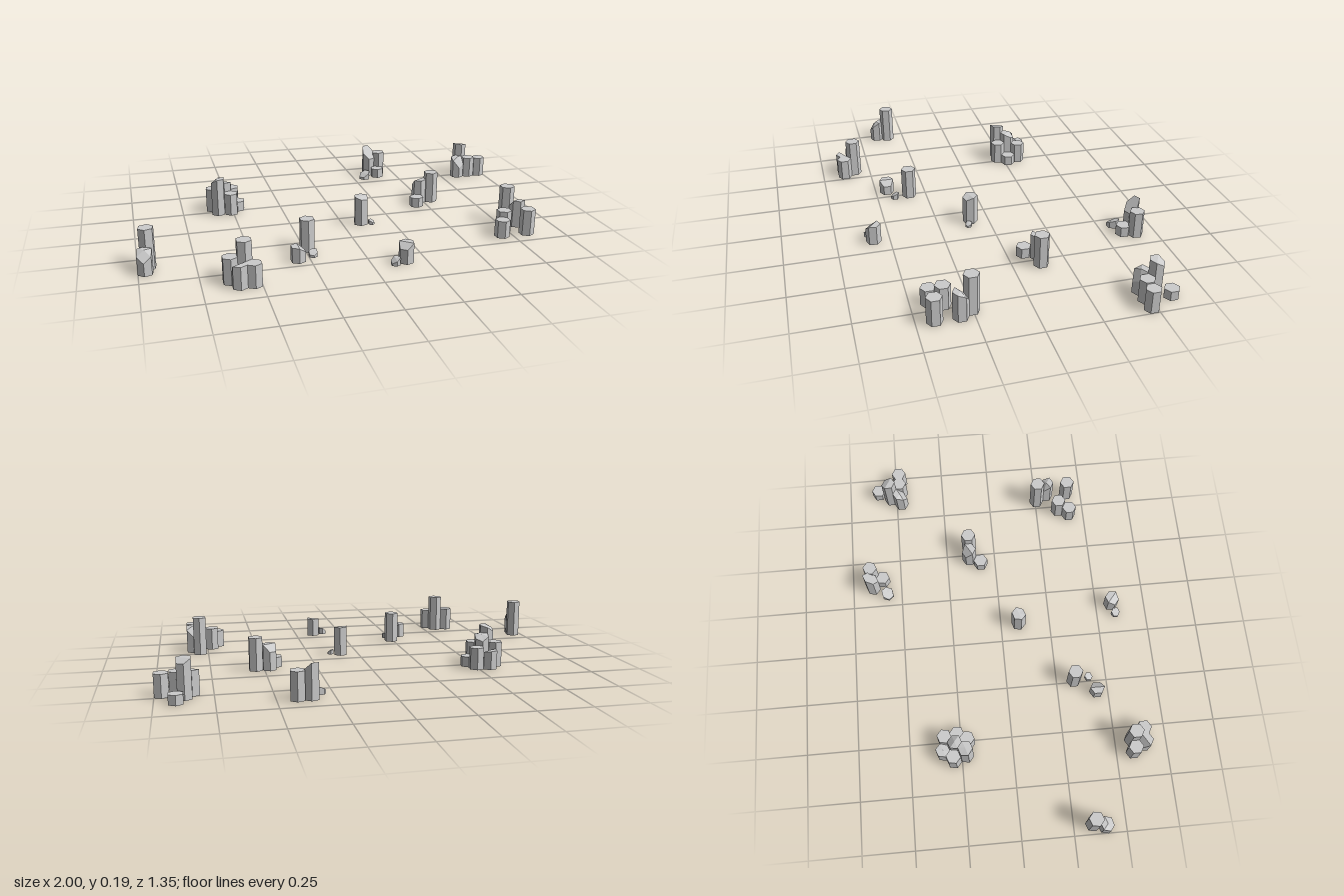
import * as THREE from 'three';

const R = 0.036; // column radius: flat-to-flat spacing is about 0.063
const stone = new THREE.MeshStandardMaterial({ color: 0xcccccc, flatShading: true });

// Hexagonal column; "chip" = [direction in degrees (0 = +x, 90 = +z), drop, start]
// breaks the top down towards one side.
function column(name, x, z, h, { chip = null, turn = 0, r = R } = {}) {
  let geo = new THREE.CylinderGeometry(r, r, h, 6, 1);
  geo.translate(0, h / 2, 0);
  geo.rotateY(-THREE.MathUtils.degToRad(turn));
  if (chip) {
    const [deg, drop, start = -0.1] = chip;
    const a = THREE.MathUtils.degToRad(deg);
    const p = geo.attributes.position;
    for (let i = 0; i < p.count; i++) {
      if (p.getY(i) < h / 2) continue;
      const d = (p.getX(i) * Math.cos(a) + p.getZ(i) * Math.sin(a)) / r;
      const t = Math.max(0, (d - start) / (1 - start));
      p.setY(i, h - drop * t);
    }
    geo = geo.toNonIndexed();
    geo.computeVertexNormals();
  }
  const mesh = new THREE.Mesh(geo, stone);
  mesh.name = name;
  mesh.position.set(x, 0, z);
  return mesh;
}

// Clusters: each column is [x, z, height, options]
const clusters = {
  backCluster: [
    [0.353, -0.645, 0.165, { chip: [70, 0.07, -0.9], turn: 8 }],
    [0.412, -0.647, 0.13, { turn: 8 }],
    [0.39, -0.592, 0.05, { turn: 8 }],
    [0.31, -0.572, 0.04, { chip: [150, 0.03, -0.5], turn: 20, r: 0.031 }],
  ],
  backLeftCluster: [
    [0.909, -0.592, 0.045],
    [0.872, -0.528, 0.18, { chip: [-60, 0.025] }],
    [0.84, -0.475, 0.115, { chip: [75, 0.06, 0] }],
    [0.904, -0.475, 0.11],
    [0.968, -0.475, 0.105],
  ],
  innerLeftCluster: [
    [0.476, -0.133, 0.125, { chip: [-120, 0.04, 0.1] }],
    [0.54, -0.13, 0.16],
    [0.444, -0.076, 0.05],
  ],
  centrePair: [
    [0.09, 0.09, 0.145, { turn: 12, chip: [60, 0.015, 0.3] }],
    [0.139, 0.109, 0.022, { chip: [30, 0.015], r: 0.016 }],
  ],
  farRightPair: [
    [-0.952, 0.341, 0.19, { turn: 10 }],
    [-0.967, 0.4, 0.11, { turn: 10, chip: [100, 0.05, 0] }],
  ],
  innerRightCluster: [
    [-0.24, 0.336, 0.155],
    [-0.305, 0.443, 0.072, { chip: [0, 0.03, 0.1] }],
    [-0.23, 0.412, 0.03, { chip: [110, 0.02, -0.5], r: 0.021 }],
  ],
  frontRightCluster: [
    [-0.626, 0.581, 0.12],
    [-0.565, 0.581, 0.19],
    [-0.594, 0.635, 0.105, { chip: [-120, 0.05, 0] }],
    [-0.533, 0.635, 0.105],
  ],
  frontPair: [
    [0.155, 0.576, 0.095, { turn: 10, chip: [130, 0.03, 0.1] }],
    [0.1, 0.594, 0.035, { chip: [160, 0.025, -0.3], r: 0.022 }],
  ],
  frontLeftCluster: [
    [0.79, 0.256, 0.19],
    [0.823, 0.31, 0.135, { chip: [-100, 0.05, 0] }],
    [0.727, 0.365, 0.11],
    [0.695, 0.42, 0.085],
    [0.823, 0.42, 0.127],
  ],
  // One central column with a ring of six around it
  ringCluster: [[-0.532, -0.277, 0.155, { turn: 10, chip: [-70, 0.03, 0.1] }]],
};

const ringHeights = [0.05, 0.11, 0.19, 0.12, 0.09, 0.105];
ringHeights.forEach((h, i) => {
  const a = THREE.MathUtils.degToRad(10 + 60 * i);
  const chip = i === 4 ? [60, 0.03, 0] : i === 2 ? [-150, 0.03, 0.1] : null;
  clusters.ringCluster.push([
    -0.532 + 0.064 * Math.cos(a), -0.277 + 0.064 * Math.sin(a), h, { turn: 10, chip },
  ]);
});

export function createModel() {
  const model = new THREE.Group();
  model.name = 'stoneColumns';
  for (const [name, columns] of Object.entries(clusters)) {
    const group = new THREE.Group();
    group.name = name;
    columns.forEach(([x, z, h, options], i) => {
      group.add(column(`column${i + 1}`, x, z, h, options));
    });
    model.add(group);
  }
  return model;
}
